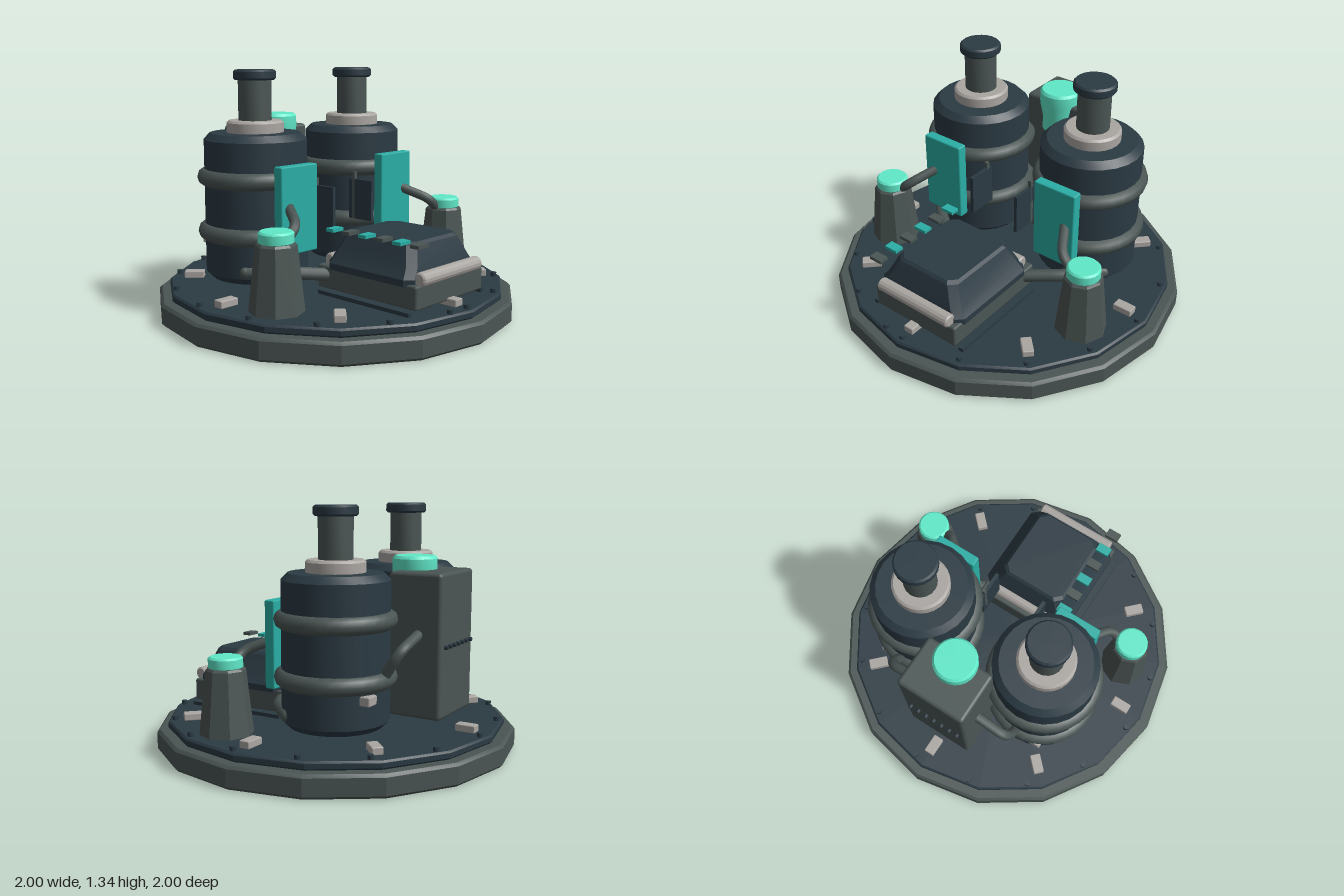
import * as THREE from 'three';
import { toCreasedNormals } from 'three/addons/utils/BufferGeometryUtils.js';
import { RoundedBoxGeometry } from 'three/addons/geometries/RoundedBoxGeometry.js';

const mat = (color) => new THREE.MeshStandardMaterial({ color });
const STEEL = mat(0x4a5553), DARK = mat(0x2b3a43), LIGHT = mat(0xaaa6a2), TEAL = mat(0x2aaea5), MINT = mat(0x60e8c8);

export function createModel() {
  const model = new THREE.Group();

  const add = (name, geometry, material, x = 0, y = 0, z = 0, parent = model) => {
    const mesh = new THREE.Mesh(geometry, material);
    mesh.name = name;
    mesh.position.set(x, y, z);
    parent.add(mesh);
    return mesh;
  };
  // Turned solid from [radius, height] pairs, bottom to top
  const turned = (profile, sides, crease = 0.5) => toCreasedNormals(
    new THREE.LatheGeometry(profile.map(([r, y]) => new THREE.Vector2(r, y)), sides), crease);
  // Closed drum with bevelled rims
  const drum = (r, y0, y1, bevel, sides) => turned(
    [[0, y0], [r - bevel, y0], [r, y0 + bevel], [r, y1 - bevel], [r - bevel, y1], [0, y1]], sides, 0.38);
  const box = (w, h, d) => new THREE.BoxGeometry(w, h, d);

  // Pipe with softened bends, and ball ends
  const pipe = (name, points, radius) => {
    const p = points.map((a) => new THREE.Vector3(...a));
    const path = new THREE.CurvePath();
    let from = p[0];
    for (let i = 1; i < p.length - 1; i++) {
      const a = p[i].clone().lerp(p[i - 1], 0.3), b = p[i].clone().lerp(p[i + 1], 0.3);
      path.add(new THREE.LineCurve3(from, a));
      path.add(new THREE.QuadraticBezierCurve3(a, p[i], b));
      from = b;
    }
    path.add(new THREE.LineCurve3(from, p[p.length - 1]));
    add(name, new THREE.TubeGeometry(path, 32, radius, 10), STEEL);
    for (const end of [p[0], p[p.length - 1]]) {
      add(name + 'End', new THREE.SphereGeometry(radius, 10, 8), STEEL, end.x, end.y, end.z);
    }
  };

  // Sixteen-sided base and deck
  add('base', drum(1, 0, 0.12, 0.015, 16), STEEL);
  add('deck', drum(0.94, 0.12, 0.165, 0.01, 16), DARK);

  // Blocks and bolts around the deck
  for (let i = 0; i < 8; i++) {
    const a = i * Math.PI / 4;
    const block = add('deckBlock', new RoundedBoxGeometry(0.11, 0.04, 0.06, 1, 0.006), LIGHT,
      0.8 * Math.cos(a), 0.185, 0.8 * Math.sin(a));
    block.rotation.y = -a;
  }
  for (let i = 0; i < 17; i++) {
    const a = -i * 22 * Math.PI / 180;
    add('deckBolt', new THREE.CylinderGeometry(0.016, 0.016, 0.025, 8), DARK,
      0.9 * Math.cos(a), 0.175, 0.9 * Math.sin(a));
  }

  for (const s of [1, -1]) {
    // Tank with two hoops, collar and chimney
    const tank = new THREE.Group();
    tank.name = 'tank';
    tank.position.set(-0.235, 0, 0.385 * s);
    model.add(tank);
    add('tankBody', drum(0.28, 0.215, 1, 0.035, 24), DARK, 0, 0, 0, tank);
    for (const y of [0.765, 0.47]) {
      const hoop = add('tankHoop', new THREE.TorusGeometry(0.27, 0.047, 10, 32), STEEL, 0, y, 0, tank);
      hoop.rotation.x = Math.PI / 2;
    }
    add('collar', drum(0.155, 0.99, 1.065, 0.012, 24), LIGHT, 0, 0, 0, tank);
    add('chimney', drum(0.09, 1.05, 1.3, 0.005, 20), STEEL, 0, 0, 0, tank);
    add('chimneyCap', drum(0.115, 1.28, 1.335, 0.01, 20), DARK, 0, 0, 0, tank);
    add('tankLug', new RoundedBoxGeometry(0.11, 0.05, 0.08, 1, 0.008), LIGHT, -0.23, 0.395, 0.115 * s, tank);

    // Panel on the inner side of the tank, and bracket plate beside it
    add('panel', new RoundedBoxGeometry(0.06, 0.465, 0.258, 1, 0.008), TEAL, 0.085, 0.6175, 0.39 * s);
    add('bracketPlate', box(0.17, 0.23, 0.02), DARK, 0.052, 0.595, 0.155 * s);
    add('bracketBar', box(0.02, 0.27, 0.02), STEEL, 0.0, 0.615, 0.155 * s);

    // Tapered post with glowing cap
    add('post', turned([[0, 0.16], [0.142, 0.16], [0.105, 0.5], [0.095, 0.512], [0, 0.512]], 8, 0.2),
      STEEL, 0.245, 0, 0.68 * s);
    add('postCap', drum(0.09, 0.505, 0.57, 0.01, 20), MINT, 0.245, 0, 0.68 * s);

    // Pipe work
    pipe('postPipe', [[0.08, 0.645, 0.445 * s], [0.245, 0.575, 0.54 * s], [0.245, 0.47, 0.66 * s]], 0.027);
    pipe('feedPipe', [[-0.08, 0.285, 0.6 * s], [0.08, 0.285, 0.45 * s], [0.2, 0.26, 0.25 * s]], 0.035);
    pipe('cabinetPipe', [[-0.605, 0.69, 0.17 * s], [-0.605, 0.63, 0.385 * s], [-0.48, 0.44, 0.385 * s]], 0.028);
  }

  // Cabinet with mint plug and a row of rivets
  add('cabinet', new RoundedBoxGeometry(0.295, 0.75, 0.4, 2, 0.02), STEEL, -0.585, 0.625, 0);
  add('cabinetPlug', turned([[0, 0.82], [0.1, 0.82], [0.1, 0.9], [0.118, 0.99], [0.118, 1.055],
    [0.106, 1.07], [0, 1.07]], 24), MINT, -0.487);
  for (let i = 0; i < 7; i++) {
    const rivet = add('rivet', new THREE.CylinderGeometry(0.011, 0.011, 0.03, 8), DARK, -0.737, 0.625, -0.15 + i * 0.05);
    rivet.rotation.z = Math.PI / 2;
  }

  // Control unit: tray, side rails and rollers
  add('consoleTray', new RoundedBoxGeometry(0.67, 0.125, 0.56, 1, 0.012), STEEL, 0.465, 0.25, 0);
  for (const s of [1, -1]) {
    add('consoleRail', box(0.61, 0.025, 0.03), DARK, 0.48, 0.173, 0.305 * s);
    const roller = add('consoleRoller', drum(0.037, -0.245, 0.245, 0.008, 14), LIGHT, 0.487 + 0.3 * s, 0.337, 0);
    roller.rotation.x = Math.PI / 2;
  }

  // Hood stacked from corner-cut rectangles: [height, half width, half depth]
  const levels = [[0.3, 0.288, 0.29], [0.335, 0.288, 0.29], [0.38, 0.275, 0.255], [0.485, 0.235, 0.205], [0.5, 0.22, 0.19]];
  const corners = [], index = [], cut = 0.04;
  for (const [y, w, d] of levels) {
    for (const [x, z] of [[w, d - cut], [w - cut, d], [cut - w, d], [-w, d - cut],
      [-w, cut - d], [cut - w, -d], [w - cut, -d], [w, cut - d]]) corners.push(x, y, z);
  }
  for (let l = 0; l < levels.length - 1; l++) {
    for (let i = 0; i < 8; i++) {
      const a = l * 8 + i, b = l * 8 + (i + 1) % 8;
      index.push(a, a + 8, b, b, a + 8, b + 8);
    }
  }
  const top = (levels.length - 1) * 8;
  for (let i = 1; i < 7; i++) index.push(top, top + i + 1, top + i, 0, i, i + 1);
  // Corners run from +x to +z, so the faces are turned to point outward
  for (let i = 0; i < index.length; i += 3) {
    const v = [0, 1, 2].map((k) => new THREE.Vector3().fromArray(corners, index[i + k] * 3));
    const normal = v[1].clone().sub(v[0]).cross(v[2].clone().sub(v[0]));
    const mid = v[0].clone().add(v[1]).add(v[2]).divideScalar(3).sub(new THREE.Vector3(0, 0.39, 0));
    if (normal.dot(mid) < 0) [index[i + 1], index[i + 2]] = [index[i + 2], index[i + 1]];
  }
  const hood = new THREE.BufferGeometry();
  hood.setAttribute('position', new THREE.Float32BufferAttribute(corners, 3));
  hood.setIndex(index);
  add('consoleHood', toCreasedNormals(hood, 0.3), DARK, 0.478);

  // Row of keys above the hood's front edge
  for (let i = 0; i < 6; i++) {
    add('key', box(0.052, 0.018, 0.08), i % 2 ? STEEL : TEAL, 0.226 + i * 0.1125, 0.508, 0.246);
  }

  return model;
}
